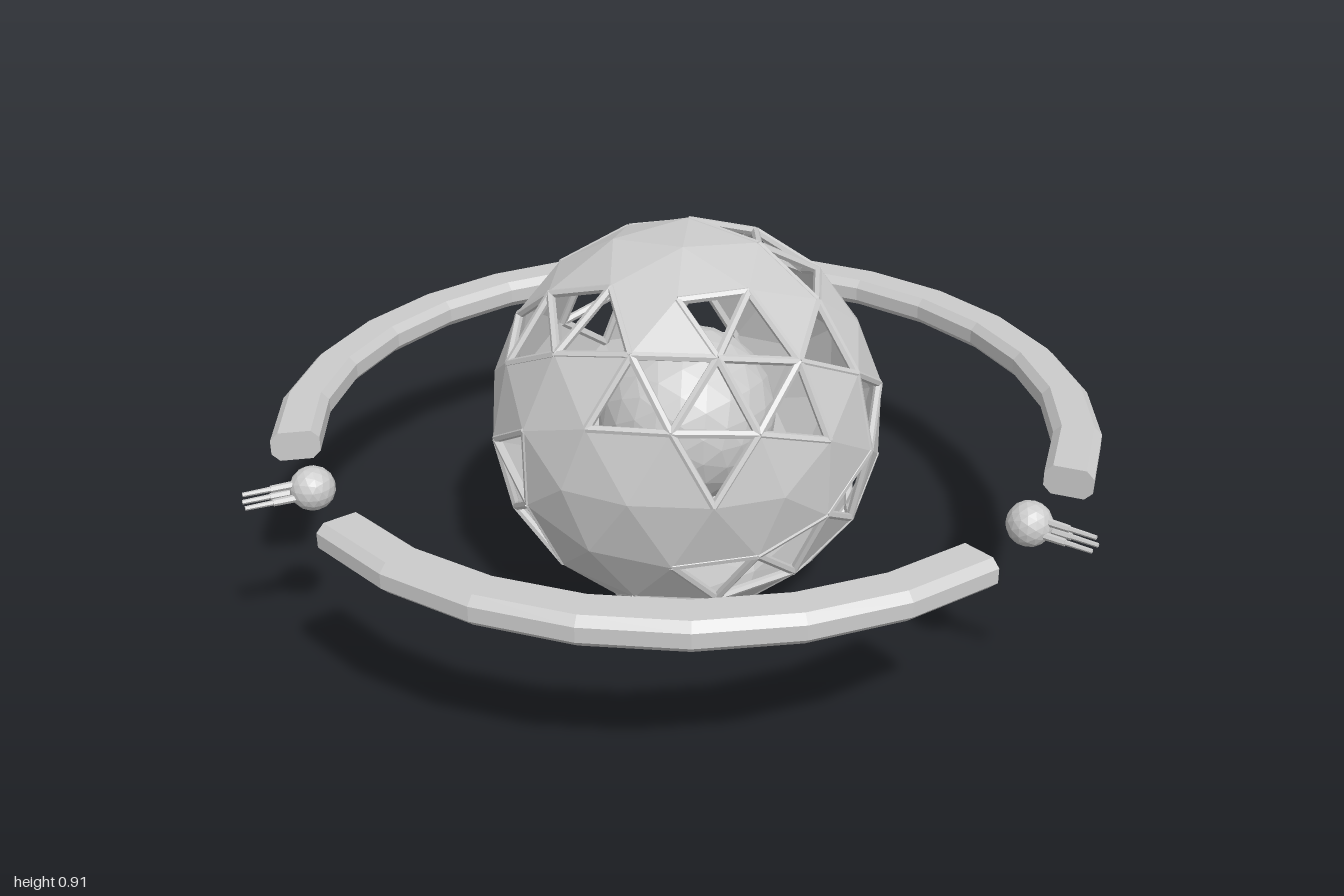
import * as THREE from 'three';

const R = 0.463;
const DEG = Math.PI / 180;
const UP = new THREE.Vector3(0, 1, 0);
const grey = new THREE.MeshStandardMaterial({ color: 0xcccccc, flatShading: true, side: THREE.DoubleSide });

// Patches of missing shell panels in degrees: azimuth from +z towards +x, elevation, angular radius
const openPatches = [
  [-22, 43, 18], [30, 30, 14], [58, 31, 15], [42, 9, 7], [90, 38, 9], [55, 53, 11],
  [140, 54, 14], [168, 48, 12], [160, 69, 9], [198, 40, 12], [231, 53, 8], [232, 31, 8],
  [212, 9, 7], [249, 14, 11], [270, 49, 8], [-49, 68, 10], [-51, 32, 8],
  [113, 8, 8], [141, -2, 11], [93, -13, 9], [93, -38, 15], [122, -29, 11],
  [55, -26, 16], [-25, -11, 15], [20, -53, 10], [165, -50, 14],
];

function mesh(name, geometry, parent) {
  const m = new THREE.Mesh(geometry, grey);
  m.name = name;
  parent.add(m);
  return m;
}

// Thin rod between two points
function rod(name, a, b, r0, r1, parent) {
  const d = b.clone().sub(a);
  const m = mesh(name, new THREE.CylinderGeometry(r1, r0, d.length(), 6), parent);
  m.position.copy(a).add(b).multiplyScalar(0.5);
  m.quaternion.setFromUnitVectors(UP, d.normalize());
}

// Geodesic shell with missing panels, its struts and the inner core
function buildSphere() {
  const group = new THREE.Group();
  group.name = 'geodesicSphere';

  // Turn the icosahedron so that one of its corners faces the front
  const geo = new THREE.IcosahedronGeometry(R, 2);
  geo.rotateX(Math.atan(2 / (1 + Math.sqrt(5)))).rotateZ(Math.PI / 2);
  const patches = openPatches.map(([az, el, radius]) => ({
    dir: new THREE.Vector3().setFromSphericalCoords(1, (90 - el) * DEG, az * DEG),
    limit: Math.cos(radius * DEG),
  }));
  const solid = [], open = [];
  const pos = geo.attributes.position;
  for (let i = 0; i < pos.count; i += 3) {
    const corners = [0, 1, 2].map(k => new THREE.Vector3().fromBufferAttribute(pos, i + k));
    const mid = new THREE.Vector3();
    corners.forEach(c => mid.add(c));
    mid.normalize();
    (patches.some(p => p.dir.dot(mid) > p.limit) ? open : solid).push(corners);
  }

  // Solid panels
  const panels = new THREE.BufferGeometry().setFromPoints(solid.flat());
  panels.computeVertexNormals();
  mesh('shellPanels', panels, group);

  // Struts around every open cell, each shared edge once
  const struts = new THREE.Group();
  struts.name = 'struts';
  group.add(struts);
  const done = new Set();
  const key = v => v.toArray().map(n => Math.round(n * 1000)).join();
  for (const corners of open) {
    corners.forEach((a, k) => {
      const b = corners[(k + 1) % 3];
      const id = [key(a), key(b)].sort().join('|');
      if (done.has(id)) return;
      done.add(id);
      rod('strut', a.clone().multiplyScalar(0.985), b.clone().multiplyScalar(0.985), 0.01, 0.01, struts);
    });
  }

  mesh('core', new THREE.IcosahedronGeometry(0.21, 3), group);
  return group;
}

// One arc of the ring: bevelled section swept around y, with end caps
function buildArc(centerAngle) {
  const group = new THREE.Group();
  group.name = 'ringArc';
  const mid = 0.905, w = 0.055, h = 0.035, bevel = 0.018;
  const section = [
    [w, bevel - h], [w, h - bevel], [w - bevel, h], [bevel - w, h],
    [-w, h - bevel], [-w, bevel - h], [bevel - w, -h], [w - bevel, -h],
  ].map(([x, y]) => new THREE.Vector2(mid + x, y));
  const span = 93 * DEG, start = centerAngle - span / 2;
  mesh('arcBody', new THREE.LatheGeometry([...section, section[0]], 7, start, span), group);
  for (const phi of [start, start + span]) {
    mesh('arcEnd', new THREE.ShapeGeometry(new THREE.Shape(section)), group).rotation.y = phi - Math.PI / 2;
  }
  return group;
}

// Small orb with three outward prongs, built along +x and then turned about y
function buildOrb(angle, roll) {
  const group = new THREE.Group();
  group.name = 'orb';
  const body = new THREE.Group();
  body.name = 'orbBody';
  body.position.x = 0.89;
  body.rotation.x = roll;
  group.add(body);
  mesh('ball', new THREE.IcosahedronGeometry(0.05, 2), body);
  for (let i = 0; i < 3; i++) {
    const t = i * 120 * DEG;
    const at = x => new THREE.Vector3(x, Math.cos(t) * 0.017, Math.sin(t) * 0.017);
    rod('prongBase', at(0.03), at(0.09), 0.009, 0.008, body);
    rod('prongTip', at(0.09), at(0.15), 0.006, 0.005, body);
  }
  group.rotation.y = angle;
  return group;
}

export function createModel() {
  const model = new THREE.Group();
  model.name = 'ringedSphere';
  const assembly = new THREE.Group();
  assembly.name = 'assembly';
  assembly.position.set(-0.04, 0.457, 0);
  assembly.add(buildSphere());
  for (let i = 0; i < 3; i++) {
    const turn = i * 120 * DEG;
    assembly.add(buildArc(30 * DEG + turn), buildOrb(turn, turn));
  }
  model.add(assembly);
  return model;
}
